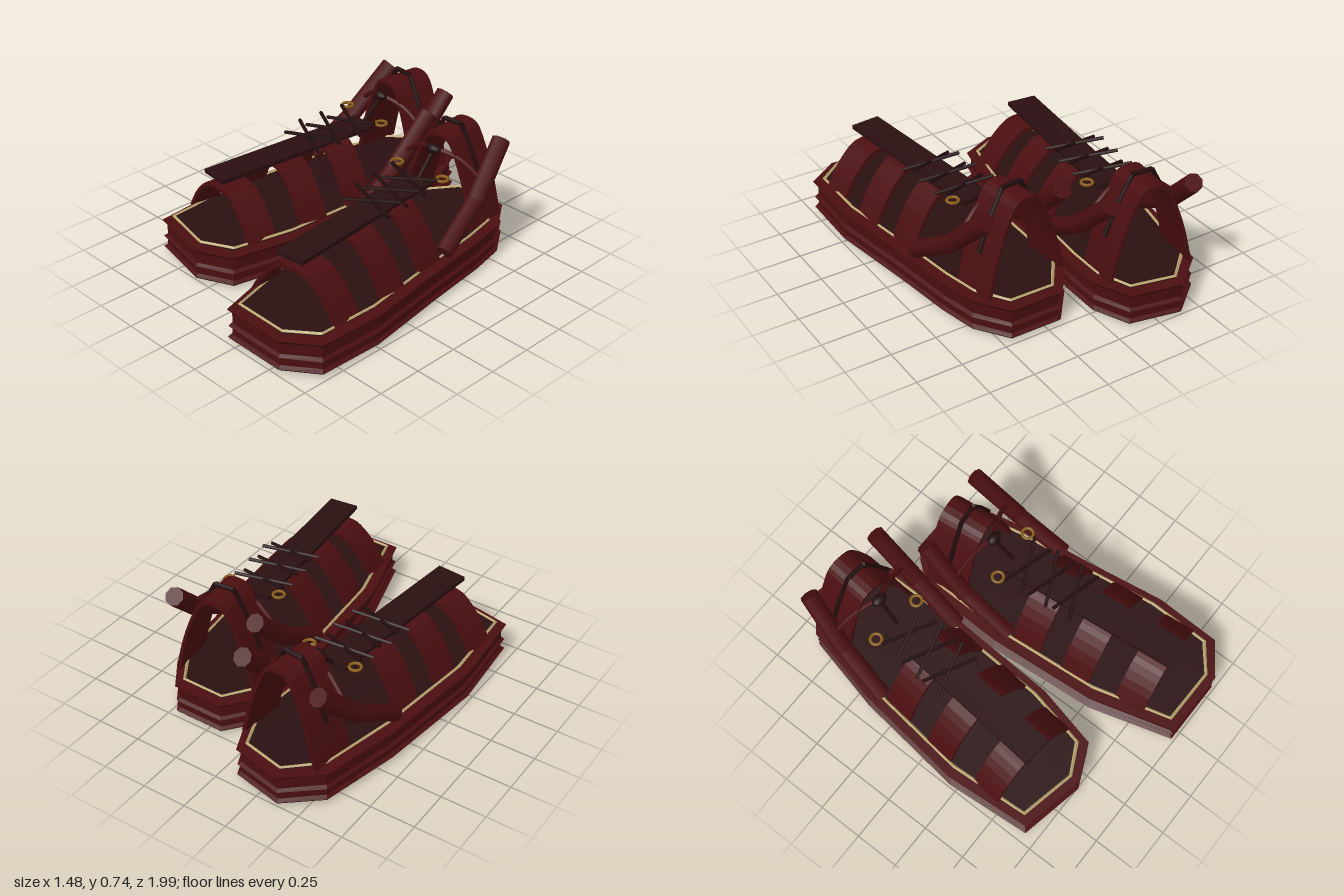
import * as THREE from 'three';

const mat = (name, color, extra = {}) => {
  const m = new THREE.MeshStandardMaterial({ color, ...extra });
  m.name = name;
  return m;
};
const red = mat('oxblood leather', 0x4a0e10);
const dark = mat('dark lining', 0x2a0f11);
const lace = mat('dark lace', 0x220b0d);
const rubber = mat('rubber', 0x1e0a0a);
const cream = mat('cream welt', 0xb8a470);
const brass = mat('brass', 0x8a5f18);

// Sole outline (x, z), from the heel round the +x side to the toe and back
const OUTLINE = [
  [-0.105, -0.875], [0.18, -0.845], [0.285, -0.66], [0.308, -0.45], [0.318, -0.07], [0.341, 0.41],
  [0.294, 0.771], [0.108, 0.878], [-0.26, 0.84], [-0.346, 0.374], [-0.335, -0.25], [-0.277, -0.7],
];

function add(parent, name, geometry, material) {
  const mesh = new THREE.Mesh(geometry, material);
  mesh.name = name;
  parent.add(mesh);
  return mesh;
}

// Stack of outline rings, each [height, inset]
function loft(levels, capped = true) {
  const rings = levels.map(([y, d]) =>
    OUTLINE.map(([x, z]) => [x * (1 - d / 0.32), y, z * (1 - d / 0.86)]));
  const pos = [];
  const tri = (a, b, c) => pos.push(...a, ...b, ...c);
  const n = OUTLINE.length;
  for (let k = 0; k < rings.length - 1; k++) {
    for (let i = 0; i < n; i++) {
      const j = (i + 1) % n, lo = rings[k], hi = rings[k + 1];
      tri(lo[i], hi[i], lo[j]);
      tri(lo[j], hi[i], hi[j]);
    }
  }
  if (capped) {
    const lo = rings[0], hi = rings[rings.length - 1];
    for (let i = 0; i < n; i++) {
      const j = (i + 1) % n;
      tri([0, lo[0][1], 0], lo[i], lo[j]);
      tri([0, hi[0][1], 0], hi[j], hi[i]);
    }
  }
  const g = new THREE.BufferGeometry();
  g.setAttribute('position', new THREE.Float32BufferAttribute(pos, 3));
  g.computeVertexNormals();
  return g;
}

// Curved strap over the foot; half holds [x, y] from the +x base to near the top
function arch(half, depth, z, thick = 0.022) {
  const pts = [...half, ...half.map(([x, y]) => [-x, y]).reverse()];
  const outer = new THREE.SplineCurve(pts.map(p => new THREE.Vector2(...p))).getPoints(18);
  const [w, base] = half[0], h = half[half.length - 1][1] - base;
  const inner = outer.map(p => new THREE.Vector2(
    p.x * (1 - thick / w), base + (p.y - base) * (1 - thick / h))).reverse();
  const g = new THREE.ExtrudeGeometry(new THREE.Shape([...outer, ...inner]),
    { depth, bevelEnabled: false });
  return g.translate(0, 0, z - depth / 2);
}

// Straight rod between two points
function rod(parent, name, a, b, r, material, sides = 6) {
  const A = new THREE.Vector3(...a), B = new THREE.Vector3(...b), d = B.clone().sub(A);
  const mesh = add(parent, name, new THREE.CylinderGeometry(r, r, d.length(), sides), material);
  mesh.position.copy(A).add(B).multiplyScalar(0.5);
  mesh.quaternion.setFromUnitVectors(new THREE.Vector3(0, 1, 0), d.normalize());
  return mesh;
}

function createShoe(name) {
  const shoe = new THREE.Group();
  shoe.name = name;

  // Layered sole with flared edges, treads, insole and welt
  add(shoe, 'sole', loft([[0.026, 0], [0.038, 0.018], [0.078, 0.018], [0.09, 0.003],
    [0.102, 0.02], [0.162, 0.02], [0.187, 0]]), red);
  add(shoe, 'outsole', loft([[0.019, 0.004], [0.0255, 0.004]]), rubber);
  for (let i = 0; i < 5; i++) {
    add(shoe, 'tread', new THREE.BoxGeometry(0.47, 0.02, 0.05), rubber)
      .position.set(0, 0.01, 0.565 - i * 0.291);
  }
  add(shoe, 'insole', loft([[0.195, 0.055], [0.212, 0.055]]), dark);
  add(shoe, 'welt', loft([[0.204, 0.05], [0.212, 0.042], [0.221, 0.05], [0.212, 0.058],
    [0.204, 0.05]], false), cream);

  // Three straps over the toes and instep
  for (const [z, w, top] of [[0.565, 0.275, 0.435], [0.24, 0.29, 0.485], [-0.068, 0.28, 0.503]]) {
    const h = top - 0.21;
    add(shoe, 'footStrap', arch([[w, 0.21], [0.75 * w, 0.21 + 0.5 * h],
      [0.42 * w, 0.21 + 0.9 * h], [0.17 * w, top]], 0.17, z), red);
  }

  // Flat tongue with crossed laces
  add(shoe, 'tongue', new THREE.BoxGeometry(0.165, 0.022, 1.0), dark).position.set(0, 0.503, 0.17);
  for (const z of [0.055, -0.09, -0.235]) {
    for (const s of [-1, 1]) {
      rod(shoe, 'lace', [-0.145 * s, 0.522, z + 0.05], [0.145 * s, 0.565, z - 0.05], 0.01, lace);
    }
  }

  // Heel arch with a thin pull loop above it
  add(shoe, 'heelArch', arch([[0.24, 0.21], [0.18, 0.44], [0.1, 0.64], [0.045, 0.702]],
    0.25, -0.61), red);
  const loop = [[0.2, 0.41], [0.13, 0.58], [0.055, 0.728], [-0.055, 0.728], [-0.13, 0.58], [-0.2, 0.41]];
  for (let i = 0; i < loop.length - 1; i++) {
    rod(shoe, 'heelLoop', [...loop[i], -0.61], [...loop[i + 1], -0.61], 0.013, lace);
  }

  // Mirrored collar posts, ankle straps and eyelets
  for (const s of [-1, 1]) {
    rod(shoe, 'collarPost', [0.28 * s, 0.24, -0.18], [0.265 * s, 0.425, -0.48], 0.047, red, 8);
    rod(shoe, 'collarPost', [0.268 * s, 0.41, -0.46], [0.235 * s, 0.655, -0.715], 0.05, red, 8);
    const path = new THREE.CatmullRomCurve3([[0.25, 0.5, -0.53], [0.13, 0.59, -0.5], [0, 0.63, -0.455]]
      .map(([x, y, z]) => new THREE.Vector3(x * s, y, z)));
    add(shoe, 'ankleStrap', new THREE.TubeGeometry(path, 8, 0.013, 6), red);
    const eyelet = add(shoe, 'eyelet', new THREE.TorusGeometry(0.03, 0.008, 6, 16), brass);
    eyelet.rotation.x = Math.PI / 2;
    eyelet.position.set(0.146 * s, 0.553, -0.33);
  }

  // Toggle in front of the ankle
  const toggle = add(shoe, 'toggle', new THREE.SphereGeometry(1, 12, 8), lace);
  toggle.scale.set(0.045, 0.026, 0.03);
  toggle.position.set(0, 0.633, -0.445);
  rod(shoe, 'toggleStem', [0, 0.62, -0.445], [0, 0.5, -0.32], 0.011, lace);
  return shoe;
}

export function createModel() {
  const model = new THREE.Group();
  model.name = 'pairOfShoes';
  // Toes turned outwards, one shoe a step ahead
  for (const s of [-1, 1]) {
    const shoe = createShoe(s > 0 ? 'leftShoe' : 'rightShoe');
    shoe.position.set(0.36 * s, 0, 0.125 * s);
    shoe.rotation.y = 0.1 * s;
    model.add(shoe);
  }
  return model;
}
